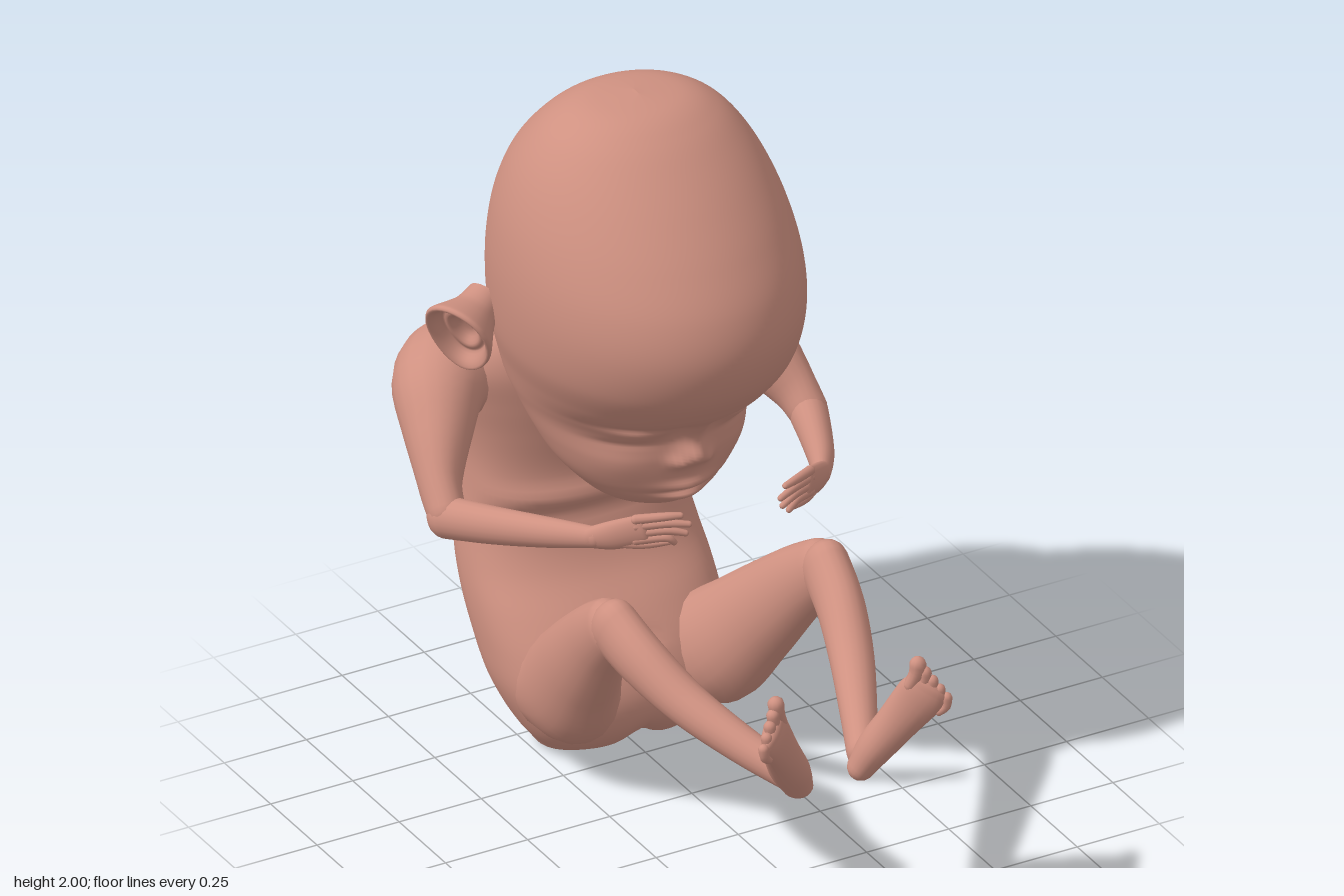
import * as THREE from 'three';

const skin = new THREE.MeshStandardMaterial({ color: 0xcf9181 });
skin.name = 'skin';

const V = (x, y, z) => new THREE.Vector3(x, y, z);
const gauss = (d, s) => Math.exp(-(d * d) / (s * s));

// Smooth interpolation of every column of a table of cross-sections, t from 0 to 1
function sample(rows, t) {
  const n = rows.length - 1, f = Math.min(Math.max(t, 0), 1) * n;
  const i = Math.min(Math.floor(f), n - 1), u = f - i;
  const a = rows[Math.max(i - 1, 0)], b = rows[i], c = rows[i + 1], d = rows[Math.min(i + 2, n)];
  return b.map((p, k) => p + 0.5 * u * (c[k] - a[k] +
    u * (2 * a[k] - 5 * p + 4 * c[k] - d[k] + u * (3 * (p - c[k]) + d[k] - a[k]))));
}

// Closed rings joined into one smooth skin; point(angle, ring) returns a Vector3
function rings(sides, count, point) {
  const pos = [], index = [];
  for (let j = 0; j < count; j++) {
    for (let i = 0; i < sides; i++) {
      pos.push(...point((i / sides) * Math.PI * 2, j).toArray());
      if (j === count - 1) continue;
      const a = j * sides + i, b = j * sides + (i + 1) % sides;
      index.push(a, b, a + sides, b, b + sides, a + sides);
    }
  }
  const g = new THREE.BufferGeometry();
  g.setAttribute('position', new THREE.Float32BufferAttribute(pos, 3));
  g.setIndex(index);
  g.computeVertexNormals();
  return g;
}

// Horizontal slices: rows of [y, front z, back z, half width]
function slices(rows, sides, count, power, shape) {
  const signed = (v) => Math.sign(v) * Math.abs(v) ** power;
  return rings(sides, count, (a, j) => {
    const [y, zf, zb, w] = sample(rows, j / (count - 1));
    const c = Math.cos(a);
    const p = V(Math.max(w, 0) * signed(Math.sin(a)), y, (zf + zb) / 2 + (zf - zb) / 2 * signed(c));
    shape(p, c);
    return p;
  });
}

// Round-ended limb: rows of [x, y, z, side radius, other radius]
function limb(rows, side = V(1, 0, 0), sides = 20, steps = 24) {
  const stations = [], cap = 5;
  for (let k = 0; k < cap; k++) stations.push([0, -(1 - k / cap) * Math.PI / 2]);
  for (let k = 0; k <= steps; k++) stations.push([k / steps, 0]);
  for (let k = 1; k <= cap; k++) stations.push([1, k / cap * Math.PI / 2]);
  return rings(sides, stations.length, (a, j) => {
    const [t, bend] = stations[j];
    const r = sample(rows, t), lo = sample(rows, t - 0.01), hi = sample(rows, t + 0.01);
    const dir = V(hi[0] - lo[0], hi[1] - lo[1], hi[2] - lo[2]).normalize();
    const s = side.clone().addScaledVector(dir, -side.dot(dir)).normalize();
    const up = dir.clone().cross(s), k = Math.cos(bend);
    return V(r[0], r[1], r[2])
      .addScaledVector(dir, Math.sin(bend) * Math.min(r[3], r[4]))
      .addScaledVector(s, Math.cos(a) * r[3] * k)
      .addScaledVector(up, Math.sin(a) * r[4] * k);
  });
}

function mirrored(g) {
  const m = g.clone().scale(-1, 1, 1), ix = m.index.array;
  for (let i = 0; i < ix.length; i += 3) [ix[i], ix[i + 1]] = [ix[i + 1], ix[i]];
  m.computeVertexNormals();
  return m;
}

// Face relief: [x, y, x spread, y spread, height], mirrored in x
const face = [
  [0, 1.1, 0.035, 0.06, 0.025], [0, 1.045, 0.038, 0.034, 0.038],    // nose
  [0.045, 1.025, 0.022, 0.02, 0.02],                                // nostril wings
  [0.17, 1.125, 0.065, 0.035, 0.02], [0.17, 1.16, 0.08, 0.014, -0.014], // eyelids and folds
  [0.17, 1.09, 0.07, 0.012, -0.008], [0.06, 1.15, 0.03, 0.03, -0.012],
  [0.2, 1.02, 0.08, 0.05, 0.012],                                   // cheeks
  [0, 0.94, 0.075, 0.018, 0.02], [0, 0.893, 0.065, 0.018, 0.02],    // lips
  [0, 0.917, 0.1, 0.009, -0.014], [0, 0.85, 0.06, 0.02, 0.008],     // mouth and chin
];

function headGeometry() {
  const rows = [
    [0.82, -0.24, -0.26, 0], [0.825, -0.17, -0.34, 0.08], [0.85, -0.1, -0.42, 0.145],
    [0.9, -0.04, -0.49, 0.2], [0.96, -0.012, -0.55, 0.248], [1.03, 0, -0.61, 0.282],
    [1.1, 0.005, -0.665, 0.308], [1.15, 0.05, -0.705, 0.328], [1.22, 0.14, -0.735, 0.352],
    [1.32, 0.22, -0.745, 0.385], [1.44, 0.255, -0.75, 0.4], [1.56, 0.232, -0.738, 0.398],
    [1.68, 0.16, -0.705, 0.378], [1.79, 0.07, -0.65, 0.34], [1.88, -0.02, -0.575, 0.288],
    [1.945, -0.1, -0.5, 0.225], [1.985, -0.18, -0.42, 0.14], [2, -0.29, -0.31, 0],
  ];
  return slices(rows, 128, 150, 1, (p, c) => {
    if (c <= 0) return;
    let dz = 0;
    for (const [x, y, sx, sy, h] of face) dz += h * gauss(Math.abs(p.x) - x, sx) * gauss(p.y - y, sy);
    p.z += dz * Math.min(1, c * 2);
  });
}

function torsoGeometry() {
  const rows = [
    [0, -0.41, -0.43, 0], [0.004, -0.33, -0.51, 0.2], [0.04, -0.265, -0.57, 0.25],
    [0.11, -0.215, -0.645, 0.295], [0.2, -0.205, -0.71, 0.33], [0.3, -0.245, -0.77, 0.342],
    [0.4, -0.32, -0.815, 0.345], [0.5, -0.41, -0.845, 0.338], [0.6, -0.455, -0.862, 0.325],
    [0.7, -0.455, -0.863, 0.316], [0.8, -0.46, -0.86, 0.315], [0.9, -0.45, -0.878, 0.33],
    [1, -0.44, -0.893, 0.355], [1.1, -0.44, -0.86, 0.37], [1.18, -0.46, -0.8, 0.33],
    [1.24, -0.5, -0.752, 0.25], [1.29, -0.55, -0.715, 0.16], [1.32, -0.62, -0.66, 0],
  ];
  return slices(rows, 72, 90, 0.85, (p, c) => {
    const mid = gauss(p.x, 0.05);
    if (p.y < 0.15) p.y += 0.04 * mid * (1 - p.y / 0.15);            // cleft
    if (c < 0) p.z -= mid * (0.008 + 0.02 * gauss(p.y - 0.1, 0.15)) * c; // spine groove
    else {
      p.z -= 0.02 * gauss(p.x, 0.04) * gauss(p.y - 0.34, 0.015);     // small crease
      p.z += c * (0.018 * gauss(p.y - 0.71, 0.03) - 0.015 * gauss(p.y - 0.65, 0.03)); // belly fold
    }
  });
}

// Cupped ear: rows of [radius, height along its axis]
function earGeometry() {
  const cup = [[0.07, -0.11], [0.08, -0.06], [0.1, -0.025], [0.124, 0.01], [0.134, 0.028],
    [0.126, 0.038], [0.108, 0.026], [0.09, 0], [0.075, 0.002], [0.06, 0], [0.035, -0.022], [0, -0.026]];
  const long = V(0.08, 0.25, 0.1).normalize();
  const out = V(0.8, -0.25, 0.42);
  out.addScaledVector(long, -out.dot(long)).normalize();
  const wide = long.clone().cross(out);
  return rings(36, 34, (a, j) => {
    const [r, h] = sample(cup, j / 33);
    const lobe = 0.74 + 0.14 * Math.sin(a);
    return V(0.446, 1.325, -0.435).addScaledVector(out, h)
      .addScaledVector(wide, Math.cos(a) * r * lobe).addScaledVector(long, Math.sin(a) * r);
  });
}

export function createModel() {
  const model = new THREE.Group();
  model.name = 'baby';
  const add = (name, g) => {
    const m = new THREE.Mesh(g, skin);
    m.name = name;
    model.add(m);
  };
  const pair = (name, g) => {
    add('left' + name, g);
    add('right' + name, mirrored(g));
  };

  add('head', headGeometry());
  add('torso', torsoGeometry());
  pair('Ear', earGeometry());

  // Arms
  const upright = V(0, 1, 0);
  pair('UpperArm', limb([[0.2, 1.02, -0.73, 0.14, 0.13], [0.32, 1.055, -0.69, 0.14, 0.145],
    [0.42, 1.06, -0.615, 0.13, 0.13], [0.485, 0.985, -0.51, 0.105, 0.095], [0.535, 0.895, -0.41, 0.075, 0.06],
    [0.55, 0.845, -0.35, 0.06, 0.052]], upright));
  pair('Forearm', limb([[0.553, 0.83, -0.345, 0.06, 0.052], [0.49, 0.86, -0.2, 0.053, 0.045],
    [0.41, 0.9, -0.03, 0.042, 0.036], [0.345, 0.928, 0.09, 0.03, 0.024]], upright));
  pair('Palm', limb([[0.355, 0.925, 0.08, 0.03, 0.022], [0.31, 0.942, 0.125, 0.042, 0.022],
    [0.25, 0.968, 0.175, 0.044, 0.017]], upright, 16, 10));
  for (let i = 0; i < 4; i++) {
    const y = 0.998 - i * 0.021, reach = [0.02, 0, 0.008, 0.035][i];
    pair('Finger' + (i + 1), limb([[0.265, y, 0.168, 0.014, 0.014], [0.2, y + 0.01, 0.207, 0.012, 0.012],
      [0.14 + reach, y + 0.01 - i * 0.006, 0.232 - reach / 2, 0.009, 0.009]], upright, 10, 8));
  }
  pair('Thumb', limb([[0.32, 0.925, 0.12, 0.016, 0.015], [0.25, 0.922, 0.175, 0.013, 0.012],
    [0.185, 0.93, 0.21, 0.009, 0.009]], upright, 10, 8));

  // Legs
  pair('Thigh', limb([[0.2, 0.2, -0.38, 0.12, 0.13], [0.225, 0.27, -0.25, 0.12, 0.16],
    [0.268, 0.42, -0.11, 0.098, 0.135], [0.302, 0.57, 0.03, 0.076, 0.105], [0.322, 0.665, 0.135, 0.063, 0.085]]));
  pair('Shin', limb([[0.322, 0.678, 0.15, 0.063, 0.09], [0.3, 0.625, 0.27, 0.064, 0.08],
    [0.25, 0.555, 0.42, 0.06, 0.062], [0.175, 0.492, 0.59, 0.05, 0.052], [0.115, 0.455, 0.715, 0.042, 0.047]]));

  // Feet, soles turned forward, with the big toe uppermost
  const across = V(0.07, -0.11, 0.06);
  pair('Foot', limb([[0.098, 0.428, 0.74, 0.038, 0.045], [0.13, 0.49, 0.76, 0.05, 0.056],
    [0.175, 0.57, 0.797, 0.057, 0.047], [0.22, 0.655, 0.838, 0.066, 0.033],
    [0.235, 0.685, 0.85, 0.06, 0.025]], across, 20, 16));
  for (let i = 0; i < 5; i++) {
    const k = i / 4, r = i === 0 ? 0.023 : 0.019 - i * 0.001;
    const x = 0.212 + 0.063 * k, y = 0.748 - 0.097 * k, z = 0.836 + 0.045 * k;
    pair('Toe' + (i + 1), limb([[x - 0.015, y - 0.055 + 0.02 * k, z - 0.008, r * 0.8, r * 0.8],
      [x, y - 0.02, z, r * 0.9, r * 0.9], [x + 0.004, y + 0.006, z, r, r]], across, 10, 6));
  }
  return model;
}
